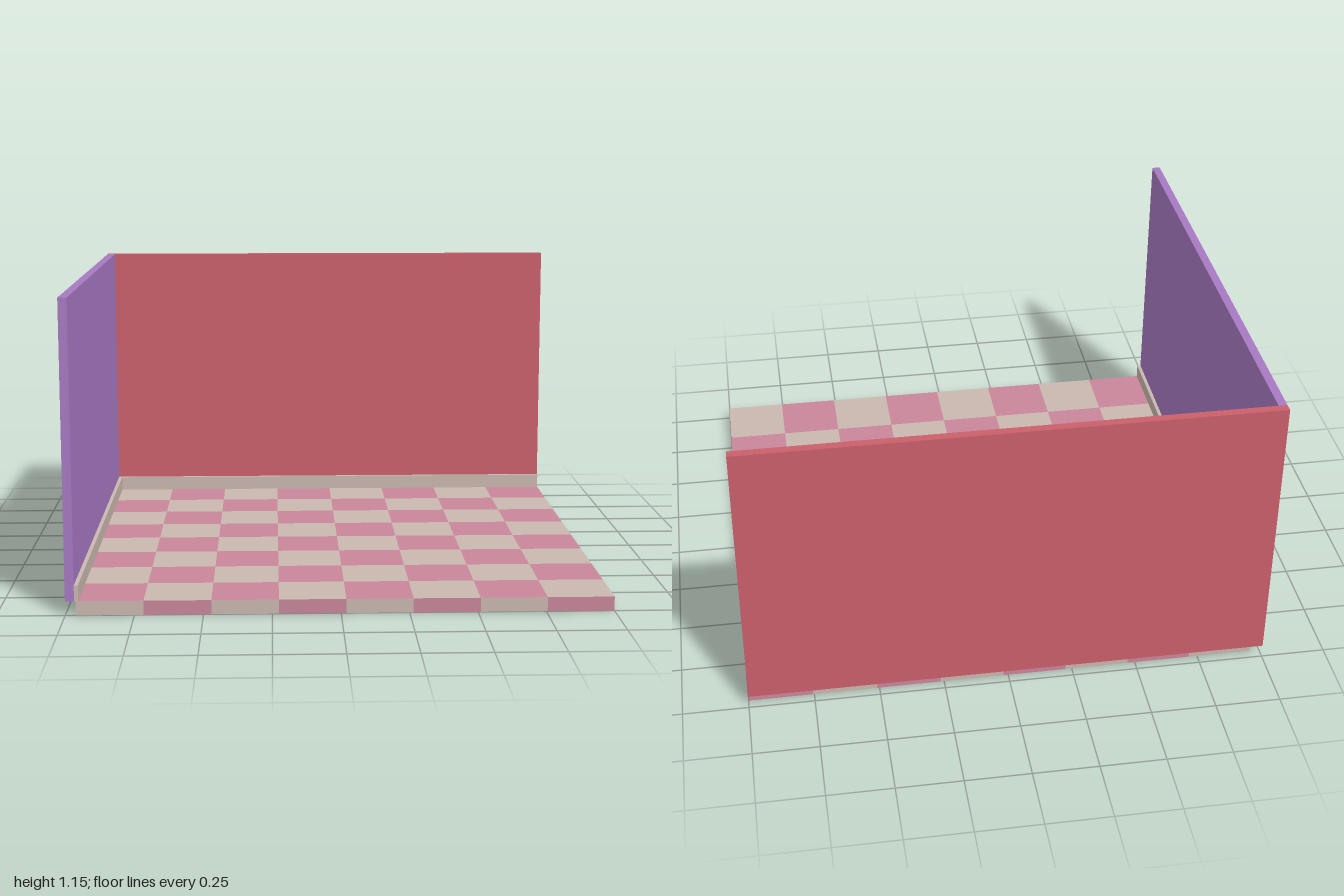
import * as THREE from 'three';

const paint = (name, color) => {
  const m = new THREE.MeshStandardMaterial({ color });
  m.name = name;
  return m;
};

// Box given by its low and high corners
function block(name, lo, hi, material) {
  const size = hi.map((v, i) => v - lo[i]);
  const mesh = new THREE.Mesh(new THREE.BoxGeometry(...size), material);
  mesh.position.set(...lo.map((v, i) => (v + hi[i]) / 2));
  mesh.name = name;
  return mesh;
}

// Slab whose cells alternate between two materials on every face
function checkerSlab(width, height, cells, materials) {
  const geo = new THREE.BoxGeometry(width, height, width, cells, 1, cells);
  const { position, normal } = geo.attributes;
  const old = Array.from(geo.index.array);
  const lists = [[], []];
  const cell = (v) => Math.floor((v / width + 0.5) * cells);
  for (let q = 0; q < old.length; q += 6) {
    const quad = old.slice(q, q + 6);
    const mean = (axis) => quad.reduce((s, k) => s + position.getComponent(k, axis), 0) / 6;
    const n = quad[0];
    // The rim strips follow only the cell count along their own length
    const i = Math.abs(normal.getX(n)) > 0.5 ? 0 : cell(mean(0));
    const j = Math.abs(normal.getZ(n)) > 0.5 ? 0 : cell(mean(2));
    lists[(i + j) % 2].push(...quad);
  }
  geo.setIndex([...lists[0], ...lists[1]]);
  geo.clearGroups();
  geo.addGroup(0, lists[0].length, 0);
  geo.addGroup(lists[0].length, lists[1].length, 1);
  return new THREE.Mesh(geo, materials);
}

export function createModel() {
  const group = new THREE.Group();
  group.name = 'roomCorner';

  const beige = paint('beige', 0xc9b8ae);
  const pink = paint('pink', 0xc9869a);
  const red = paint('red', 0xc95f6a);
  const purple = paint('purple', 0xa779c1);

  const floorY = 0.053, top = 1.155, skirtTop = 0.112;
  const wallIn = -0.967, skirtIn = -0.952, floorMin = -0.962;

  // Chequered floor
  const width = 1 - floorMin;
  const floor = checkerSlab(width, floorY, 8, [beige, pink]);
  floor.position.set((1 + floorMin) / 2, floorY / 2, (1 + floorMin) / 2);
  floor.name = 'floor';
  group.add(floor);

  // Walls
  group.add(block('backWall', [-1, floorY, -1], [1, top, wallIn], red));
  group.add(block('sideWall', [-1, floorY, wallIn], [wallIn, top, 1], purple));

  // Skirting boards
  group.add(block('backSkirting', [wallIn, floorY, wallIn], [1, skirtTop, skirtIn], beige));
  group.add(block('sideSkirting', [wallIn, floorY, skirtIn], [skirtIn, skirtTop, 1], beige));

  return group;
}
